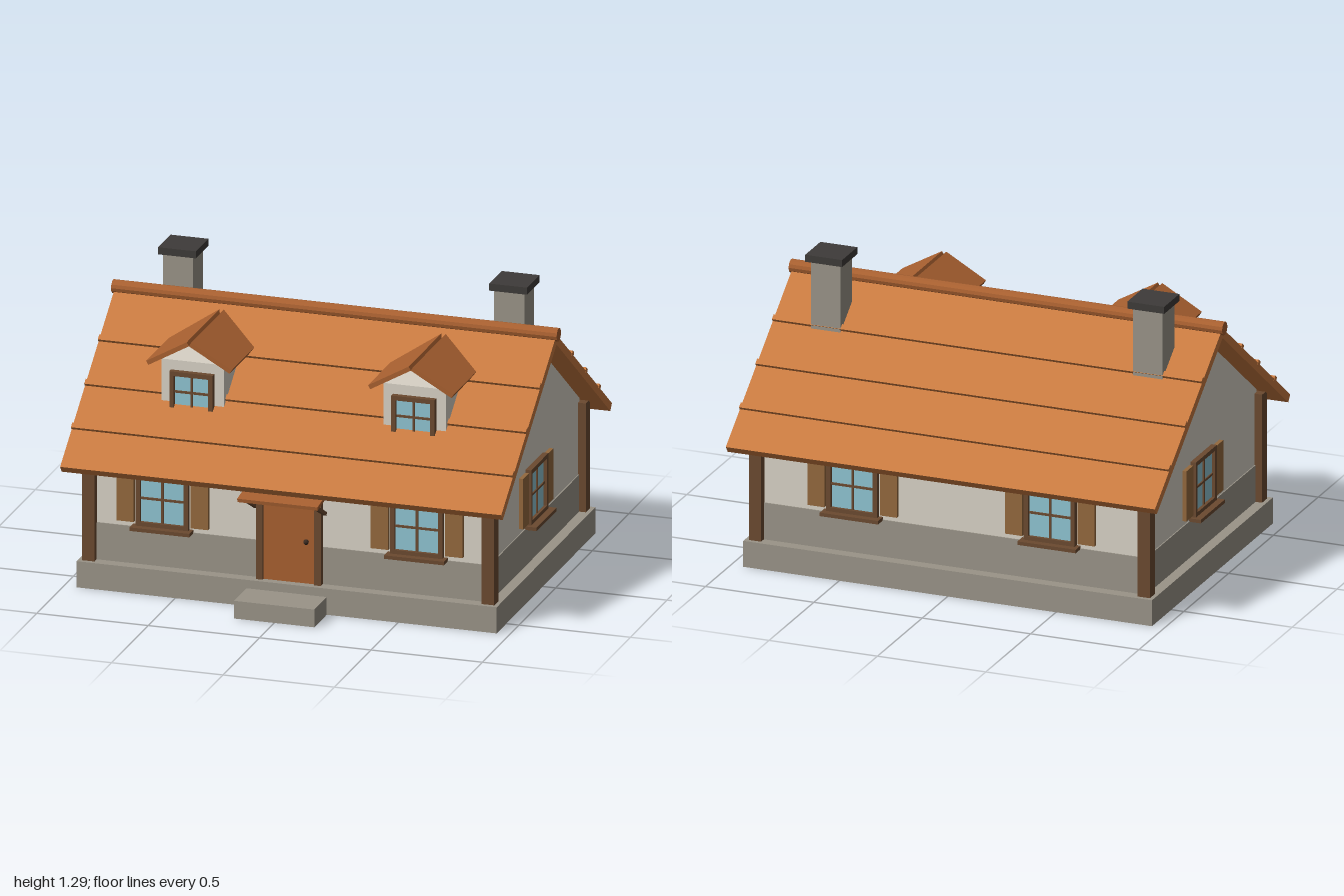
import * as THREE from 'three';

const mat = (color) => new THREE.MeshStandardMaterial({ color, flatShading: true });
const M = {
  wall: mat(0xd8d2c6), stone: mat(0x9a9488), timber: mat(0x6b4a30), shutter: mat(0x94693e),
  glass: mat(0x8fc4d2), roof: mat(0xc87a40), darkRoof: mat(0xa86030), cap: mat(0x3e3b39), iron: mat(0x3a2a20),
};
const CZ = -0.043;      // z of the ridge and house centre
const HALF_X = 0.89;    // wall half width
const HALF_Z = 0.618;   // wall half depth
const RIDGE_Y = 1.13;
const PITCH = 0.641;

function box(parent, name, material, size, pos) {
  const mesh = new THREE.Mesh(new THREE.BoxGeometry(...size), material);
  mesh.name = name;
  mesh.position.set(...pos);
  parent.add(mesh);
  return mesh;
}

function group(parent, name, pos = [0, 0, 0], turn = 0) {
  const g = new THREE.Group();
  g.name = name;
  g.position.set(...pos);
  g.rotation.y = turn;
  parent.add(g);
  return g;
}

// Framed pane with glazing bars, facing +z, centred on its own origin
function addWindow(parent, name, pos, turn, w, h, full) {
  const g = group(parent, name, pos, turn);
  const t = 0.02;
  box(g, 'glass', M.glass, [w - t, h - t, 0.012], [0, 0, 0.004]);
  for (const s of [-1, 1]) {
    box(g, 'frameSide', M.timber, [t, h, 0.04], [s * (w - t) / 2, 0, 0.005]);
    box(g, 'frameRail', M.timber, [w - 2 * t, t, 0.04], [0, s * (h - t) / 2, 0.005]);
  }
  box(g, 'glazingBarUpright', M.timber, [0.01, h - 2 * t, 0.014], [0, 0, 0.009]);
  box(g, 'glazingBarCross', M.timber, [w - 2 * t, 0.01, 0.014], [0, 0, 0.009]);
  if (full) {
    box(g, 'sill', M.timber, [w + 0.034, 0.016, 0.07], [0, -h / 2 - 0.006, 0.02]);
    for (const s of [-1, 1]) box(g, 'shutter', M.shutter, [0.078, 0.228, 0.02], [s * 0.167, 0.002, 0.008]);
  }
}

function addBody(house) {
  box(house, 'foundation', M.stone, [1.886, 0.118, 1.348], [0, 0.059, CZ]);
  box(house, 'doorStep', M.stone, [0.36, 0.08, 0.18], [0, 0.04, 0.71]);
  box(house, 'stonePlinth', M.stone, [2 * HALF_X + 0.01, 0.17, 2 * HALF_Z + 0.01], [0, 0.2, CZ]);

  // Walls: gable profile run along x
  const eave = 1.087 - HALF_Z * Math.tan(PITCH);
  const gable = new THREE.Shape([[-HALF_Z, 0.11], [HALF_Z, 0.11], [HALF_Z, eave], [0, 1.087], [-HALF_Z, eave]]
    .map(([x, y]) => new THREE.Vector2(x, y)));
  const geo = new THREE.ExtrudeGeometry(gable, { depth: 2 * HALF_X, bevelEnabled: false });
  geo.translate(0, 0, -HALF_X).rotateY(Math.PI / 2);
  const walls = new THREE.Mesh(geo, M.wall);
  walls.name = 'walls';
  walls.position.z = CZ;
  house.add(walls);

  for (const sx of [-1, 1]) for (const sz of [-1, 1])
    box(house, 'cornerPost', M.timber, [0.056, 0.494, 0.056], [sx * 0.897, 0.363, CZ + sz * 0.626]);
}

function addRoof(house) {
  const roof = group(house, 'mainRoof', [0, RIDGE_Y, CZ]);
  for (const turn of [0, Math.PI]) {
    const side = group(roof, 'roofSide', [0, 0, 0], turn);
    const slope = group(side, 'roofSlope');
    slope.rotation.x = PITCH;
    box(slope, 'roofSlab', M.roof, [1.98, 0.036, 0.942], [0, -0.018, 0.471]);
    for (const d of [0.274, 0.505, 0.732])
      box(slope, 'tileCourse', M.roof, [1.982, 0.024, 0.026], [0, 0.002, d]);
  }
  const ridge = new THREE.Mesh(new THREE.CylinderGeometry(0.03, 0.03, 2, 12).rotateZ(Math.PI / 2), M.darkRoof);
  ridge.name = 'ridgeCap';
  roof.add(ridge);

  for (const s of [-1, 1]) {
    box(house, 'chimney', M.stone, [0.135, 0.36, 0.132], [s * 0.743, 1.085, -0.214]);
    box(house, 'chimneyCap', M.cap, [0.17, 0.032, 0.17], [s * 0.743, 1.278, -0.218]);
  }
}

function addDormer(house, x) {
  const g = group(house, 'dormer', [x, 0, 0]);
  box(g, 'dormerWalls', M.wall, [0.28, 0.23, 0.3], [0, 0.875, 0.247]);
  addWindow(g, 'dormerWindow', [0, 0.853, 0.397], 0, 0.195, 0.185, false);
  // Two slabs meeting at their lower ridge edges
  for (const s of [-1, 1]) {
    const slope = group(g, 'dormerRoofSlope', [0, 1.078, 0.225]);
    slope.rotation.z = -s * 0.518;
    box(slope, 'dormerRoofSlab', M.darkRoof, [0.21, 0.02, 0.45], [s * 0.105, 0.01, 0]);
  }
}

function addEntrance(house) {
  const g = group(house, 'entrance', [0, 0, CZ + HALF_Z]);
  box(g, 'door', M.darkRoof, [0.236, 0.39, 0.03], [0, 0.313, 0.005]);
  for (const s of [-1, 1]) {
    box(g, 'doorJamb', M.timber, [0.03, 0.41, 0.05], [s * 0.131, 0.323, 0.008]);
    // Sloping strut from wall to canopy
    const strut = box(g, 'canopyStrut', M.timber, [0.016, 0.016, 0.165], [s * 0.155, 0.476, 0.076]);
    strut.rotation.x = -0.5;
  }
  box(g, 'doorLintel', M.timber, [0.292, 0.03, 0.05], [0, 0.52, 0.008]);
  const canopy = box(g, 'canopy', M.darkRoof, [0.36, 0.016, 0.19], [0, 0.534, 0.088]);
  canopy.rotation.x = 0.15;
  const knob = new THREE.Mesh(new THREE.SphereGeometry(0.012, 12, 8), M.iron);
  knob.name = 'doorKnob';
  knob.position.set(0.078, 0.308, 0.028);
  g.add(knob);
}

export function createModel() {
  const house = new THREE.Group();
  house.name = 'cottage';
  addBody(house);
  addRoof(house);
  addEntrance(house);
  for (const s of [-1, 1]) {
    addDormer(house, s * 0.498);
    addWindow(house, 'frontWindow', [s * 0.571, 0.421, CZ + HALF_Z], 0, 0.235, 0.252, true);
    addWindow(house, 'backWindow', [s * 0.456, 0.421, CZ - HALF_Z], Math.PI, 0.235, 0.252, true);
    addWindow(house, 'sideWindow', [s * HALF_X, 0.421, CZ], s * Math.PI / 2, 0.235, 0.252, true);
  }
  return house;
}
